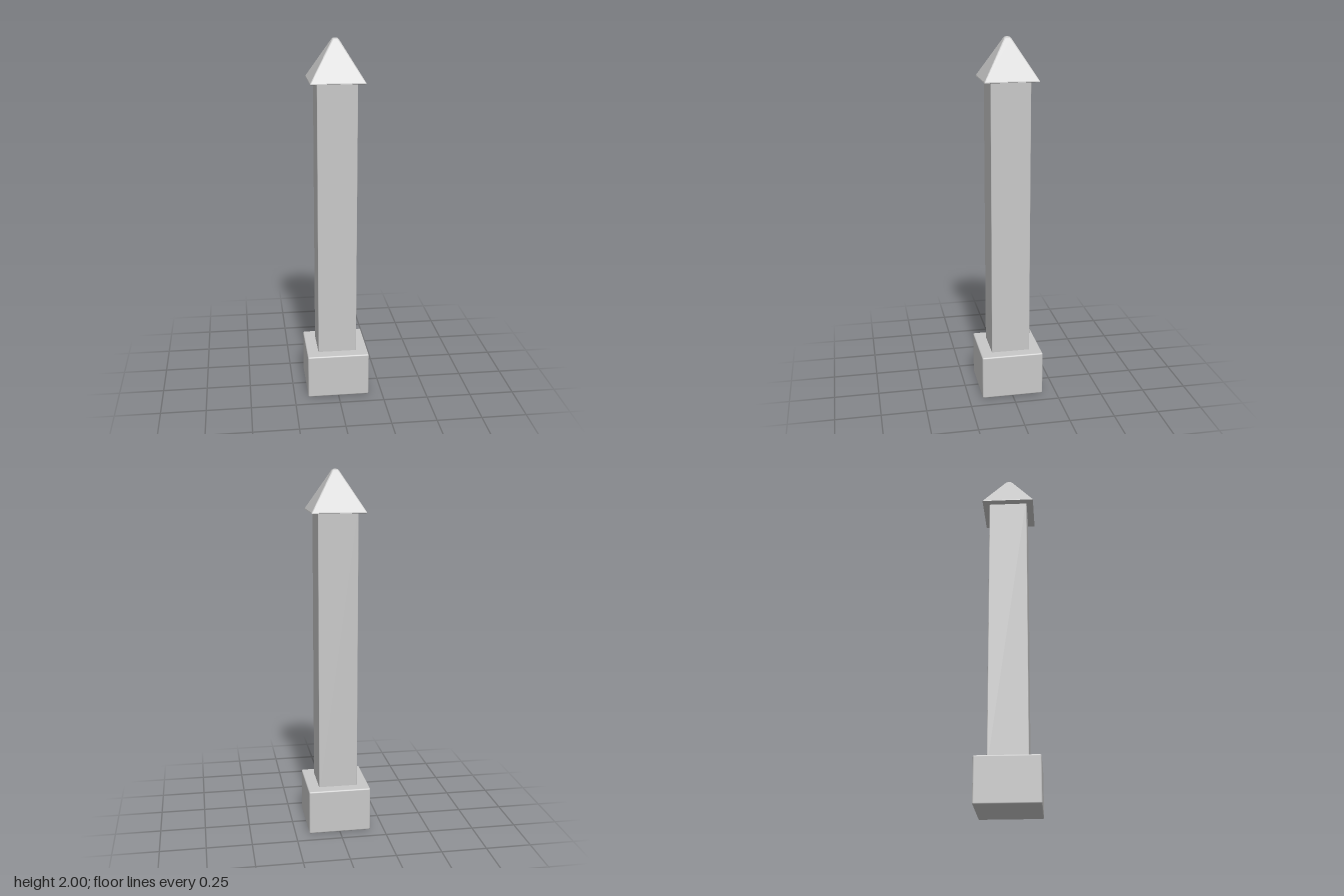
import * as THREE from 'three';
import { RoundedBoxGeometry } from 'three/addons/geometries/RoundedBoxGeometry.js';

// Square cross-section with softly rounded corners, counterclockwise from above
function squareRing(half, y, radius) {
  const points = [];
  for (let corner = 0; corner < 4; corner++) {
    const mid = Math.PI / 4 + corner * Math.PI / 2;
    const c = (half - radius) * Math.SQRT2;
    for (let k = 0; k <= 2; k++) {
      const a = mid + (k - 1) * Math.PI / 4;
      points.push([
        c * Math.cos(mid) + radius * Math.cos(a), y,
        -c * Math.sin(mid) - radius * Math.sin(a),
      ]);
    }
  }
  return points;
}

// Skin between rings listed from bottom to top, closed by a fan at each end
function loft(rings) {
  const positions = [];
  const n = rings[0].length;
  const first = rings[0], last = rings[rings.length - 1];
  for (let j = 0; j < n; j++) {
    const k = (j + 1) % n;
    for (let i = 0; i < rings.length - 1; i++) {
      const a = rings[i][j], b = rings[i][k], c = rings[i + 1][k], d = rings[i + 1][j];
      positions.push(...a, ...b, ...c, ...a, ...c, ...d);
    }
    positions.push(0, first[0][1], 0, ...first[k], ...first[j]);
    positions.push(0, last[0][1], 0, ...last[j], ...last[k]);
  }
  const geometry = new THREE.BufferGeometry();
  geometry.setAttribute('position', new THREE.Float32BufferAttribute(positions, 3));
  geometry.computeVertexNormals();
  return geometry;
}

export function createModel() {
  const group = new THREE.Group();
  group.name = 'squarePillar';
  const stone = new THREE.MeshStandardMaterial({ color: 0xc8c8c8 });
  stone.name = 'grey stone';

  const add = (name, geometry, y = 0) => {
    const mesh = new THREE.Mesh(geometry, stone);
    mesh.name = name;
    mesh.position.y = y;
    group.add(mesh);
  };

  // Plinth and shaft with slightly eased edges
  add('plinth', new RoundedBoxGeometry(0.346, 0.25, 0.346, 3, 0.008), 0.125);
  add('shaft', new RoundedBoxGeometry(0.216, 1.57, 0.216, 3, 0.004), 1.005);

  // Overhanging pyramid cap with a blunt, rounded tip
  const profile = [
    [0.142, 1.778, 0.003], [0.146, 1.78, 0.004], [0.145, 1.785, 0.005],
    [0.022, 1.988, 0.007], [0.018, 1.994, 0.007], [0.013, 1.998, 0.006], [0.008, 2, 0.004],
  ];
  add('pyramidCap', loft(profile.map((p) => squareRing(...p))));

  return group;
}
